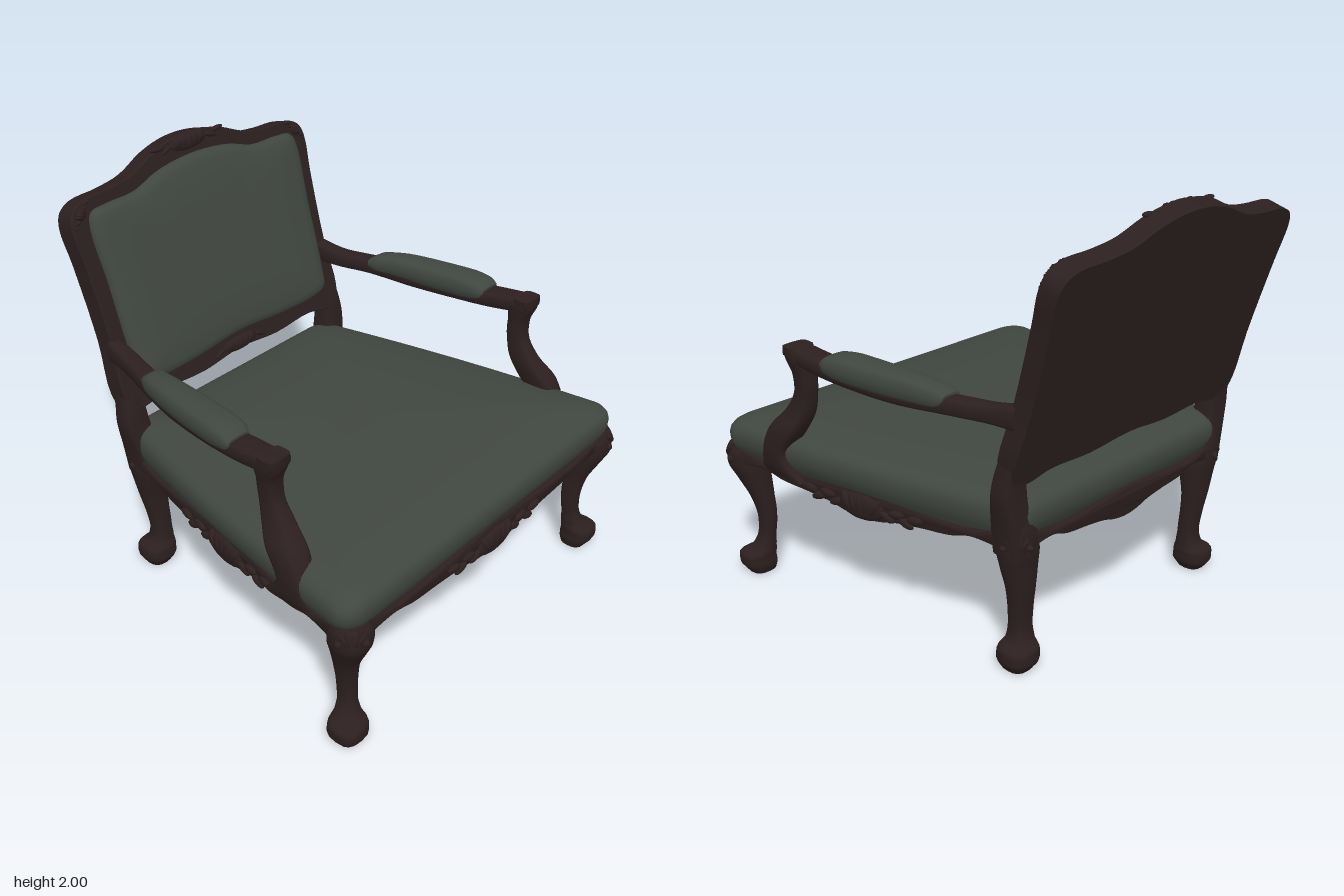
import * as THREE from 'three';
import { toCreasedNormals } from 'three/addons/utils/BufferGeometryUtils.js';

const wood = new THREE.MeshStandardMaterial({ name: 'dark wood', color: 0x2c1f1f });
const fabric = new THREE.MeshStandardMaterial({ name: 'green fabric', color: 0x404640, side: THREE.DoubleSide });

const lean = (y) => -0.62 - 0.3 * Math.max(0, y - 0.9); // depth of the raked back at a height
const sgnPow = (v, p) => Math.sign(v) * Math.abs(v) ** p;

function mesh(name, geo, mat, parent) {
  const m = new THREE.Mesh(geo, mat);
  m.name = name;
  parent.add(m);
  return m;
}

// Skin a list of equal-length rings; the last end is closed, the first unless open
function loft(rings, crease = 0.8, open = false) {
  const n = rings[0].length, pos = [], idx = [];
  for (const r of rings) for (const p of r) pos.push(p.x, p.y, p.z);
  for (let i = 0; i < rings.length - 1; i++) {
    for (let j = 0; j < n; j++) {
      const a = i * n + j, b = i * n + (j + 1) % n;
      idx.push(a, b, a + n, b, b + n, a + n);
    }
  }
  [0, rings.length - 1].forEach((ri, end) => {
    if (open && !end) return;
    const c = rings[ri].reduce((s, p) => s.add(p), new THREE.Vector3()).divideScalar(n);
    const ci = pos.length / 3;
    pos.push(c.x, c.y, c.z);
    for (let j = 0; j < n; j++) {
      const a = ri * n + j, b = ri * n + (j + 1) % n;
      if (end) idx.push(a, b, ci); else idx.push(b, a, ci);
    }
  });
  // Turn the faces outward if the rings ran the other way
  let vol = 0;
  const v = (i) => new THREE.Vector3().fromArray(pos, i * 3).sub(rings[0][0]);
  for (let i = 0; i < idx.length; i += 3) vol += v(idx[i]).dot(v(idx[i + 1]).cross(v(idx[i + 2])));
  if (vol < 0) idx.reverse();
  const g = new THREE.BufferGeometry();
  g.setAttribute('position', new THREE.Float32BufferAttribute(pos, 3));
  g.setIndex(idx);
  return toCreasedNormals(g, crease);
}

// Sections [x, y, z, half width, half depth], stacked along y or z; side mirrors x
function limb(secs, axis, side, p = 0.65, steps = 5) {
  const mid = new THREE.CatmullRomCurve3(secs.map((s) => new THREE.Vector3(s[0], s[1], s[2])));
  const size = new THREE.CatmullRomCurve3(secs.map((s) => new THREE.Vector3(s[3], s[4], 0)));
  const rings = [], count = (secs.length - 1) * steps;
  for (let i = 0; i <= count; i++) {
    const c = mid.getPoint(i / count), w = size.getPoint(i / count), ring = [];
    for (let j = 0; j < 16; j++) {
      const a = (j / 16) * Math.PI * 2;
      const u = w.x * sgnPow(Math.cos(a), p), d = w.y * sgnPow(Math.sin(a), p);
      ring.push(new THREE.Vector3(side * (c.x + u), c.y + (axis === 'z' ? d : 0), c.z + (axis === 'y' ? d : 0)));
    }
    rings.push(ring);
  }
  return loft(rings);
}

// Low carved shell with leaf sprays on both sides, facing +z
function carving(name, w, h, parent, leaves) {
  const g = new THREE.Group();
  g.name = name;
  const ball = new THREE.SphereGeometry(1, 12, 8);
  const lump = (x, y, sx, sy, sz, rot) => {
    const m = mesh('carvedLeaf', ball, wood, g);
    m.position.set(x, y, 0);
    m.scale.set(sx, sy, sz);
    m.rotation.z = rot;
  };
  lump(0, 0, w * 0.5, h * 0.48, 0.024, 0);
  for (let i = -2; i <= 2; i++) lump(i * w * 0.14, h * 0.06, w * 0.1, h * 0.4, 0.027, -i * 0.3);
  for (const s of [1, -1]) {
    for (let i = 0; i < leaves; i++) {
      lump(s * w * (0.55 + i * 0.2), h * (i % 2 ? 0.1 : -0.1), w * 0.17, h * 0.15, 0.016, s * (i % 2 ? 0.1 : -0.35));
    }
  }
  parent.add(g);
  return g;
}

// Scalloped apron rail from one corner to another, outer face toward +z before turning
function rail(name, x0, z0, x1, z1, parent, carved) {
  const g = new THREE.Group();
  g.name = name;
  const half = Math.hypot(x1 - x0, z1 - z0) / 2;
  const pts = (list) => list.map(([u, y]) => new THREE.Vector2(u * half, y));
  const shape = new THREE.Shape();
  shape.moveTo(-half, 0.59);
  shape.splineThru(pts([[-0.78, 0.605], [-0.62, 0.578], [-0.42, 0.565], [-0.25, 0.55], [-0.12, 0.528], [0, 0.52],
    [0.12, 0.528], [0.25, 0.55], [0.42, 0.565], [0.62, 0.578], [0.78, 0.605], [1, 0.59]]));
  shape.lineTo(half, 0.68);
  shape.splineThru(pts([[0.8, 0.642], [0.6, 0.632], [0.2, 0.65], [0, 0.66], [-0.2, 0.65], [-0.6, 0.632], [-0.8, 0.642], [-1, 0.68]]));
  const geo = new THREE.ExtrudeGeometry(shape, { depth: 0.04, curveSegments: 30, bevelSize: 0.01, bevelOffset: -0.01, bevelThickness: 0.012, bevelSegments: 2 });
  geo.translate(0, 0, -0.05);
  mesh('apron', toCreasedNormals(geo, 0.6), wood, g);
  if (carved) carving('apronCarving', 0.26, 0.13, g, 4).position.set(0, 0.585, 0.006);
  g.position.set((x0 + x1) / 2, 0, (z0 + z1) / 2);
  g.rotation.y = Math.atan2(-(z1 - z0), x1 - x0);
  parent.add(g);
}

// Mirror half an outline (bottom centre to top centre) into a closed smooth loop
function outline(half, n) {
  const pts = half.map(([x, y]) => new THREE.Vector3(x, y, 0));
  const left = half.slice(1, -1).reverse().map(([x, y]) => new THREE.Vector3(-x, y, 0));
  return new THREE.CatmullRomCurve3([...pts, ...left], true).getPoints(n).slice(0, n);
}

// Loft an outline along the normal of the raked back; rows are [depth, scale]
function backSlab(loop, rows, crease) {
  return loft(rows.map(([d, k]) => loop.map((p) => {
    const y = 1.45 + (p.y - 1.45) * k;
    return new THREE.Vector3(p.x * k, y + 0.28 * d, lean(y) + 0.96 * d);
  })), crease);
}

export function createModel() {
  const chair = new THREE.Group();
  chair.name = 'armchair';

  // Seat cushion: hollow shell of rounded trapezoid rings [height, scale]
  const seatRing = (y, k) => {
    const ring = [], r = 0.12;
    const put = (u, v) => {
      const z = 0.14 + 0.83 * k * v, t = (z + 0.69) / 1.66;
      ring.push(new THREE.Vector3((0.68 + 0.32 * t + 0.03 * Math.sin(Math.PI * t)) * k * u, y, z));
    };
    [[1, 1], [-1, 1], [-1, -1], [1, -1]].forEach(([sx, sz], q) => {
      for (let i = 0; i <= 8; i++) {
        const a = (q + i / 8) * Math.PI / 2;
        put(sx * (1 - r) + r * Math.cos(a), sz * (1 - r) + r * Math.sin(a));
      }
      // Points along the edge to the next corner
      for (let i = 1; i < 8; i++) {
        const e = (1 - r) * (1 - i / 4);
        if (q % 2) put(sx, sz * e); else put(sx * e, sz);
      }
    });
    return ring;
  };
  const seatRows = [[0.62, 0.95], [0.64, 0.96], [0.67, 0.985], [0.71, 0.998], [0.745, 1], [0.77, 0.994], [0.79, 0.98], [0.805, 0.955],
    [0.818, 0.92], [0.836, 0.82], [0.852, 0.7], [0.866, 0.55], [0.878, 0.35], [0.884, 0.12]];
  mesh('seatCushion', loft(seatRows.map(([y, k]) => seatRing(y, k)), 0.8, true), fabric, chair);

  // Apron rails
  rail('frontRail', -0.9, 0.96, 0.9, 0.96, chair, true);
  rail('leftRail', 0.975, 0.88, 0.7, -0.62, chair, true);
  rail('rightRail', -0.7, -0.62, -0.975, 0.88, chair, true);
  rail('backRail', 0.62, -0.685, -0.62, -0.685, chair, false);

  // Back frame: raked slab with a shaped crest
  const frameLoop = outline([[0, 0.945], [0.25, 0.925], [0.5, 0.935], [0.62, 0.91], [0.7, 0.92], [0.735, 1.0], [0.722, 1.25], [0.735, 1.6],
    [0.748, 1.77], [0.725, 1.83], [0.66, 1.865], [0.5, 1.875], [0.36, 1.895], [0.22, 1.95], [0.1, 1.978], [0, 1.985]], 120);
  mesh('backFrame', backSlab(frameLoop, [[-0.056, 1], [0.038, 1], [0.046, 0.99]], 0.5), wood, chair);

  // Back cushion
  const padLoop = outline([[0, 1.03], [0.3, 1.01], [0.55, 1.01], [0.625, 1.035], [0.64, 1.13], [0.65, 1.5], [0.66, 1.74], [0.637, 1.805],
    [0.55, 1.82], [0.38, 1.825], [0.22, 1.87], [0, 1.89]], 100);
  mesh('backCushion', backSlab(padLoop, [[0.03, 1], [0.055, 1], [0.072, 0.987], [0.085, 0.96], [0.093, 0.9], [0.1, 0.7], [0.102, 0.4], [0.102, 0.1]], 0.8), fabric, chair);

  // Carvings on the crest, lower back rail and upper corners
  const backCarving = (name, x, y, w, h, rot, leaves) => {
    const c = carving(name, w, h, chair, leaves);
    c.position.set(x, y, lean(y) + 0.042);
    c.rotation.set(-0.29, 0, rot);
  };
  backCarving('crestCarving', 0, 1.957, 0.25, 0.08, 0, 2);
  backCarving('lowerBackCarving', 0, 0.985, 0.25, 0.075, 0, 1);

  for (const s of [1, -1]) {
    backCarving('cornerCarving', s * 0.685, 1.825, 0.07, 0.05, -s * 0.8, 3);

    // Back posts
    mesh('backPost', limb([[0.635, 0.56, -0.61, 0.07, 0.075], [0.66, 0.7, -0.615, 0.065, 0.07], [0.685, 0.85, -0.625, 0.066, 0.055],
      [0.685, 0.95, -0.638, 0.055, 0.052], [0.68, 1.08, -0.677, 0.045, 0.047]], 'y', s, 0.4), wood, chair);

    // Cabriole legs with scrolled feet
    mesh('frontLeg', limb([[0.885, 0, 0.88, 0.063, 0.06], [0.895, 0.05, 0.888, 0.083, 0.082], [0.895, 0.095, 0.888, 0.083, 0.08], [0.872, 0.13, 0.867, 0.054, 0.056],
      [0.858, 0.2, 0.852, 0.038, 0.042], [0.855, 0.3, 0.846, 0.042, 0.045], [0.868, 0.4, 0.855, 0.053, 0.053], [0.885, 0.5, 0.882, 0.074, 0.074],
      [0.9, 0.58, 0.902, 0.09, 0.088], [0.9, 0.64, 0.902, 0.09, 0.085], [0.895, 0.68, 0.893, 0.078, 0.074]], 'y', s, 0.75), wood, chair);
    mesh('backLeg', limb([[0.62, 0, -0.612, 0.06, 0.062], [0.618, 0.05, -0.614, 0.086, 0.088], [0.616, 0.095, -0.614, 0.085, 0.084], [0.597, 0.13, -0.605, 0.06, 0.058],
      [0.592, 0.2, -0.602, 0.052, 0.045], [0.598, 0.3, -0.61, 0.058, 0.046], [0.607, 0.4, -0.618, 0.07, 0.052], [0.615, 0.5, -0.615, 0.085, 0.066],
      [0.622, 0.58, -0.615, 0.092, 0.078], [0.63, 0.66, -0.615, 0.082, 0.08], [0.645, 0.74, -0.615, 0.06, 0.065]], 'y', s, 0.75), wood, chair);

    // Knee shells facing the corners
    const knee = carving('frontKneeCarving', 0.1, 0.12, chair, 1);
    knee.position.set(s * 0.95, 0.625, 0.952);
    knee.rotation.y = s * Math.PI / 4;
    const heel = carving('backKneeCarving', 0.1, 0.1, chair, 1);
    heel.position.set(s * 0.675, 0.62, -0.66);
    heel.rotation.y = s * Math.PI * 0.75;

    // Arm support sweeping up from the side rail
    mesh('armSupport', limb([[0.91, 0.61, 0.6, 0.03, 0.15], [0.915, 0.66, 0.61, 0.045, 0.105], [0.913, 0.74, 0.615, 0.057, 0.075], [0.898, 0.85, 0.56, 0.062, 0.088],
      [0.873, 0.95, 0.49, 0.05, 0.068], [0.868, 1.05, 0.45, 0.042, 0.048], [0.872, 1.14, 0.447, 0.047, 0.046],
      [0.877, 1.21, 0.46, 0.06, 0.058], [0.877, 1.265, 0.478, 0.063, 0.045]], 'y', s, 0.5), wood, chair);

    // Arm rail and its padded rest
    mesh('armRail', limb([[0.877, 1.24, 0.515, 0.058, 0.028], [0.874, 1.225, 0.42, 0.06, 0.038], [0.865, 1.21, 0.3, 0.062, 0.04], [0.845, 1.19, 0.1, 0.062, 0.033],
      [0.81, 1.183, -0.15, 0.058, 0.033], [0.765, 1.196, -0.38, 0.05, 0.038], [0.715, 1.198, -0.56, 0.045, 0.04], [0.695, 1.21, -0.7, 0.038, 0.055]], 'z', s, 0.5), wood, chair);
    mesh('armPad', limb([[0.864, 1.235, 0.27, 0.06, 0.022], [0.86, 1.237, 0.24, 0.074, 0.044], [0.85, 1.237, 0.14, 0.08, 0.058], [0.828, 1.234, -0.04, 0.076, 0.058],
      [0.802, 1.231, -0.22, 0.067, 0.054], [0.775, 1.222, -0.34, 0.058, 0.044], [0.763, 1.22, -0.38, 0.05, 0.024]], 'z', s, 0.6), fabric, chair);
  }
  return chair;
}
